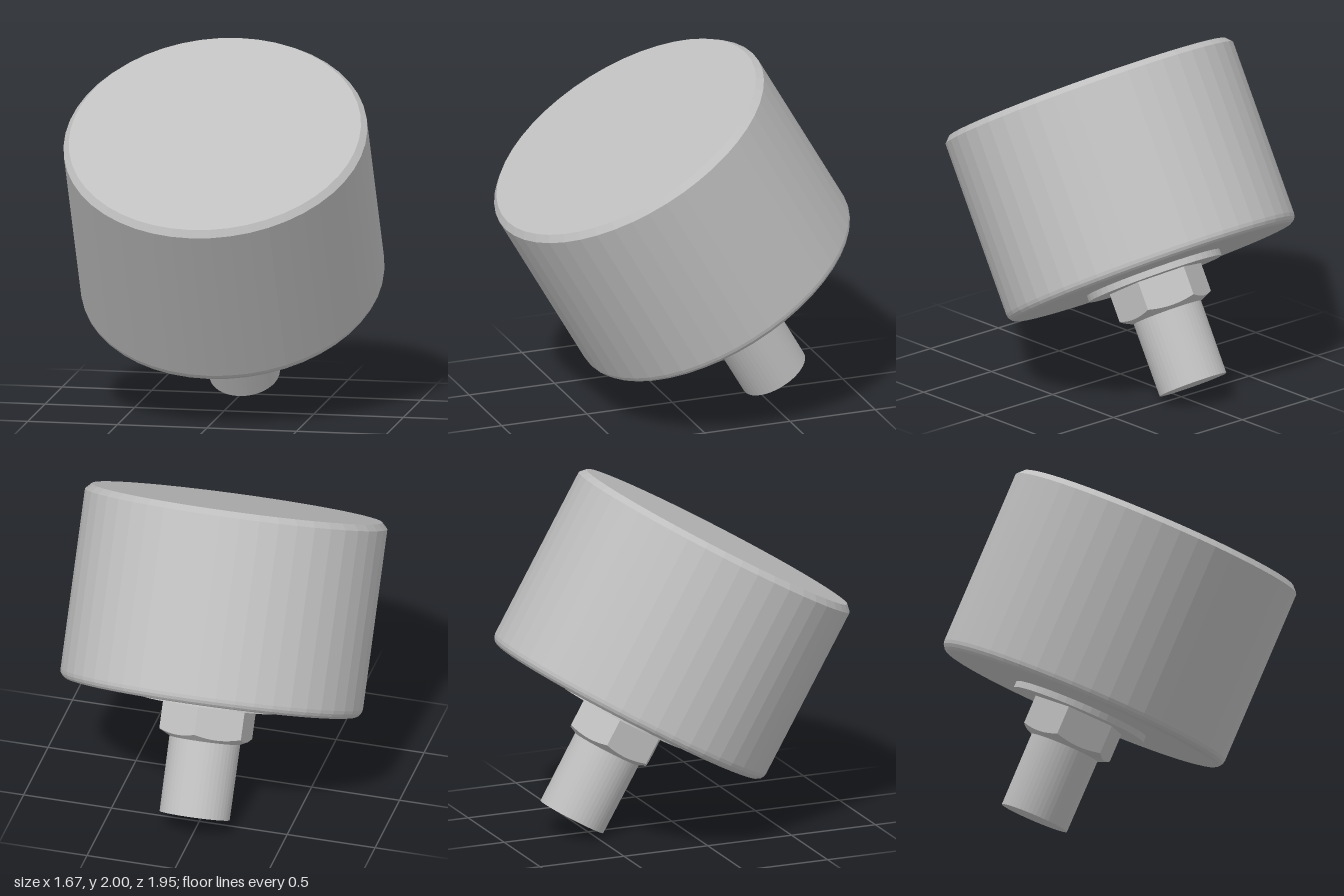
import * as THREE from 'three';

const SIDES = 48;

// Lathe from [radius, height] points, listed bottom to top
function turned(points) {
  return new THREE.LatheGeometry(points.map(([r, y]) => new THREE.Vector2(r, y)), SIDES);
}

function faceted(geometry) {
  const flat = geometry.toNonIndexed();
  flat.computeVertexNormals();
  return flat;
}

// Hexagonal nut with a conical chamfer on its lower end, corners at +z and -z
function hexNutGeometry(bottom, top, neck, corner, chamfer) {
  const geometry = turned([[neck, bottom], [corner, bottom + chamfer], [corner, top]]);
  const pos = geometry.attributes.position;
  const flat = corner * Math.cos(Math.PI / 6);
  for (let i = 0; i < pos.count; i++) {
    const x = pos.getX(i), y = pos.getY(i), z = pos.getZ(i);
    if (y < bottom + 0.001) continue;
    const angle = Math.atan2(x, z) + Math.PI * 2;
    const r = flat / Math.cos((angle % (Math.PI / 3)) - Math.PI / 6);
    const height = y > top - 0.001 ? top : bottom + chamfer * (r - neck) / (corner - neck);
    pos.setXYZ(i, Math.sin(angle) * r, height, Math.cos(angle) * r);
  }
  return geometry;
}

export function createModel() {
  const model = new THREE.Group();
  model.name = 'gauge';
  const metal = new THREE.MeshStandardMaterial({ color: 0xbfbfbf });
  metal.name = 'grey metal';

  // All parts share one axis, tilted toward the front
  const tilted = new THREE.Group();
  tilted.name = 'tiltedBody';
  tilted.rotation.x = Math.PI / 6;
  tilted.position.set(0, 0.2825, -0.489);
  model.add(tilted);

  const add = (name, geometry) => {
    const mesh = new THREE.Mesh(faceted(geometry), metal);
    mesh.name = name;
    tilted.add(mesh);
  };

  // Drum with a rounded lower edge and a bevelled upper edge
  const lowerEdge = [];
  for (let i = 0; i <= 4; i++) {
    const a = (i / 4) * Math.PI / 2;
    lowerEdge.push([0.787 + 0.05 * Math.sin(a), 0.488 - 0.05 * Math.cos(a)]);
  }
  add('drum', turned([[0, 0.438], ...lowerEdge, [0.837, 1.485], [0.805, 1.518], [0, 1.518]]));

  // Thin round flange under the drum
  add('flange', turned([[0, 0.402], [0.386, 0.402], [0.386, 0.44]]));

  // Hexagonal nut
  add('hexNut', hexNutGeometry(0.205, 0.403, 0.196, 0.268, 0.035));

  // Round stem
  add('stem', turned([[0, -0.215], [0.194, -0.215], [0.196, 0.21]]));

  return model;
}
